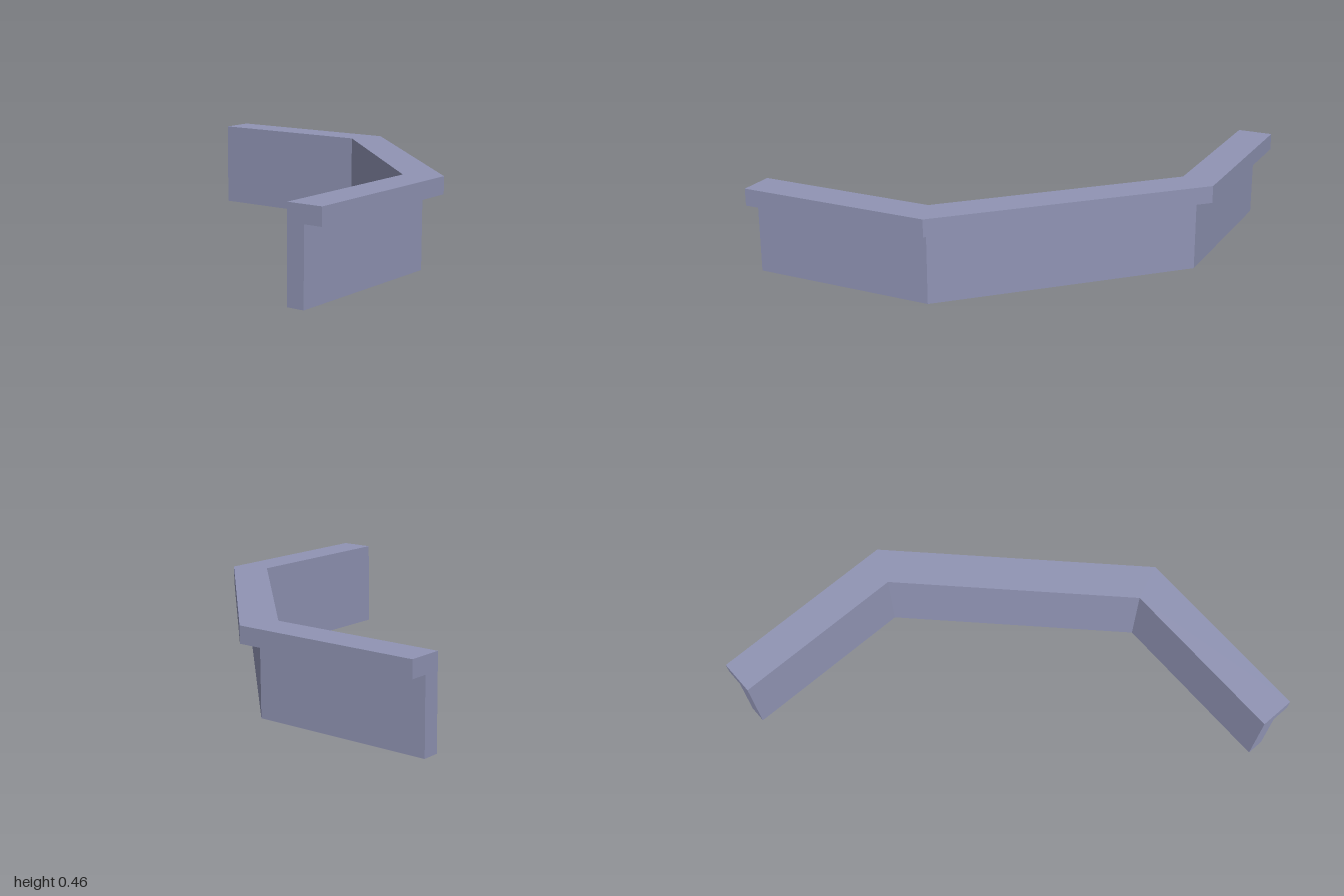
import * as THREE from 'three';

const INNER = 0.82;           // distance of the flush inner face from the centre
const BEND = -0.02;           // where the outermost face turns through 45 degrees
const MITRE = Math.tan(Math.PI / 8);

// Plan of an angled strip lying between the inner face and an outer offset
function stripShape(outer) {
  const a = BEND - (1 - outer) * MITRE;
  const b = BEND - (1 - INNER) * MITRE;
  const plan = [
    [-1, outer], [a, outer], [outer, a], [outer, -1],
    [INNER, -1], [INNER, b], [b, INNER], [-1, INNER],
  ];
  return new THREE.Shape(plan.map(([x, z]) => new THREE.Vector2(x, -z)));
}

// Raise a strip from its plan between two heights
function strip(name, outer, bottom, top, material) {
  const geometry = new THREE.ExtrudeGeometry(stripShape(outer), {
    depth: top - bottom, bevelEnabled: false,
  });
  geometry.rotateX(-Math.PI / 2);
  geometry.translate(0, bottom, 0);
  const mesh = new THREE.Mesh(geometry, material);
  mesh.name = name;
  return mesh;
}

export function createModel() {
  const group = new THREE.Group();
  group.name = 'angledParapet';
  const stone = new THREE.MeshStandardMaterial({ color: 0x9094b4 });
  stone.name = 'blue grey stone';

  // Low wall with a wider ledge overhanging its outer side
  group.add(strip('wall', 0.908, 0, 0.37, stone));
  group.add(strip('ledge', 1, 0.37, 0.456, stone));
  return group;
}
